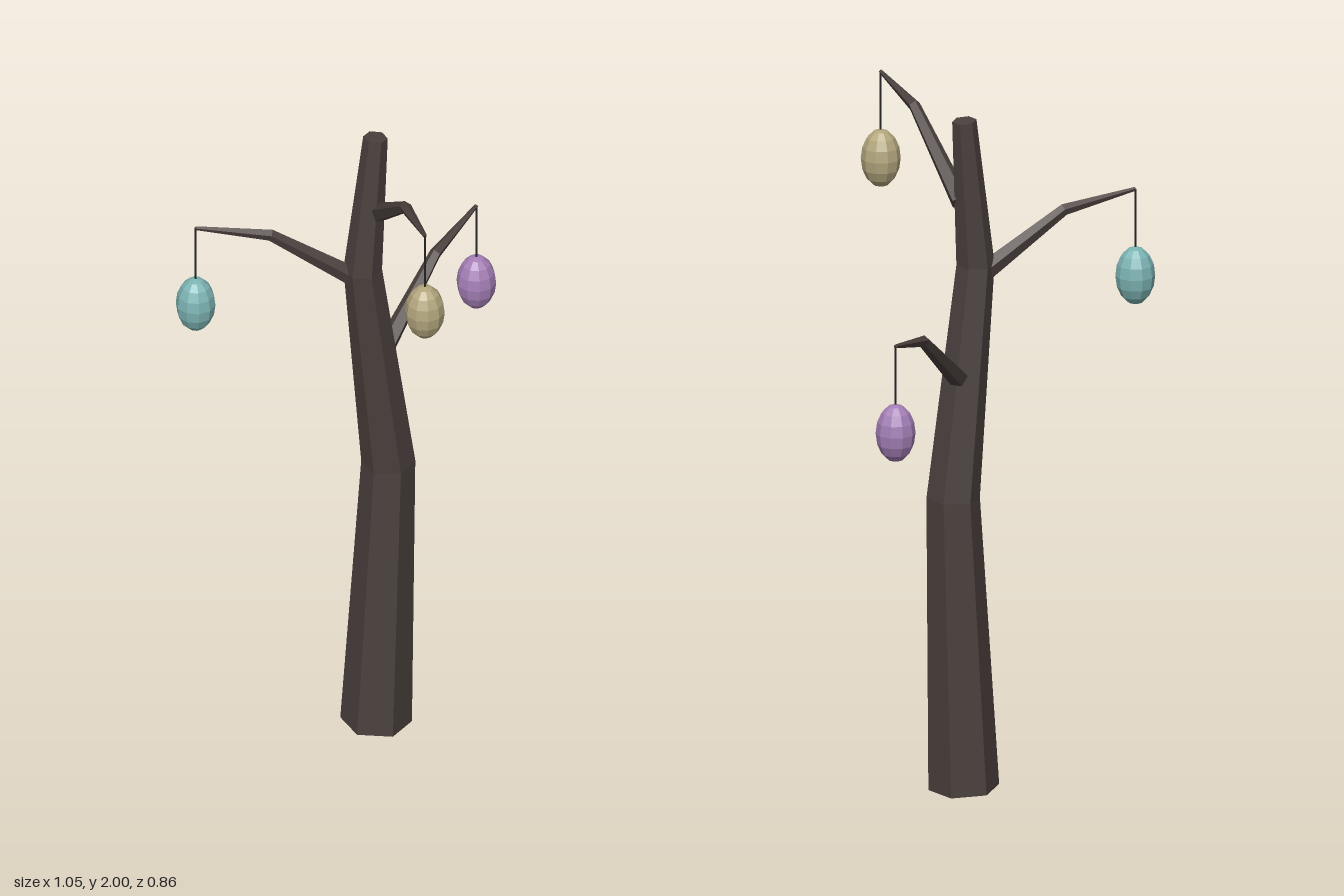
import * as THREE from 'three';

const mat = (color) => new THREE.MeshStandardMaterial({ color, flatShading: true });

// Capped tapering limb: polygon rings set square to a path; each point is [x, y, z, radius]
function limb(name, path, sides, ref, material) {
  const pts = path.map((p) => new THREE.Vector3(p[0], p[1], p[2]));
  const last = pts.length - 1;
  const pos = [], idx = [];
  pts.forEach((p, k) => {
    const t = new THREE.Vector3();
    if (k > 0) t.add(p.clone().sub(pts[k - 1]).normalize());
    if (k < last) t.add(pts[k + 1].clone().sub(p).normalize());
    t.normalize();
    const u = ref.clone().addScaledVector(t, -ref.dot(t)).normalize();
    const v = t.clone().cross(u);
    for (let i = 0; i < sides; i++) {
      const a = (i / sides) * Math.PI * 2, r = path[k][3];
      const q = p.clone().addScaledVector(u, r * Math.cos(a)).addScaledVector(v, r * Math.sin(a));
      pos.push(q.x, q.y, q.z);
    }
  });
  for (let k = 0; k < last; k++) {
    for (let i = 0; i < sides; i++) {
      const a = k * sides + i, b = k * sides + ((i + 1) % sides);
      idx.push(a, b, b + sides, a, b + sides, a + sides);
    }
  }
  // end caps
  for (let i = 1; i < sides - 1; i++) {
    const e = last * sides;
    idx.push(0, i + 1, i, e, e + i, e + i + 1);
  }
  const indexed = new THREE.BufferGeometry();
  indexed.setAttribute('position', new THREE.Float32BufferAttribute(pos, 3));
  indexed.setIndex(idx);
  const geo = indexed.toNonIndexed();
  geo.computeVertexNormals();
  const mesh = new THREE.Mesh(geo, material);
  mesh.name = name;
  return mesh;
}

export function createModel() {
  const model = new THREE.Group();
  model.name = 'lanternTree';
  const bark = mat(0x4a403d);
  const cord = mat(0x222222);

  // crooked hexagonal trunk
  model.add(limb('trunk', [
    [0.017, 0.008, -0.13, 0.102],
    [0.056, 0.88, -0.13, 0.077],
    [-0.026, 1.56, -0.13, 0.055],
    [0.015, 1.997, -0.13, 0.035],
  ], 6, new THREE.Vector3(0, 0, 1), bark));

  // branches, each with a lantern hanging from its tip
  const branches = [
    { name: 'left', color: 0xa47fb6, root: [0.06, 1.245, -0.157], mid: [0.285, 1.43, -0.277], tip: [0.468, 1.477, -0.375] },
    { name: 'right', color: 0x7db3b3, root: [-0.055, 1.54, -0.143], mid: [-0.272, 1.697, -0.226], tip: [-0.472, 1.737, -0.302] },
    { name: 'front', color: 0xb3a67d, root: [0.014, 1.75, -0.112], mid: [-0.047, 1.955, 0.17], tip: [-0.094, 1.995, 0.378] },
  ];
  const bodyGeo = new THREE.SphereGeometry(0.057, 10, 8);
  bodyGeo.scale(1, 1.5, 1);
  const cordGeo = new THREE.CylinderGeometry(0.003, 0.003, 0.18, 5);

  for (const { name, color, root, mid, tip } of branches) {
    model.add(limb(name + 'Branch', [[...root, 0.029], [...mid, 0.0175], [...tip, 0.006]],
      5, new THREE.Vector3(0, 1, 0), bark));

    const lantern = new THREE.Group();
    lantern.name = name + 'Lantern';
    lantern.position.set(...tip);
    const string = new THREE.Mesh(cordGeo, cord);
    string.name = 'string';
    string.position.y = -0.09;
    const body = new THREE.Mesh(bodyGeo, mat(color));
    body.name = 'lanternBody';
    body.position.y = -0.258;
    lantern.add(string, body);
    model.add(lantern);
  }
  return model;
}
